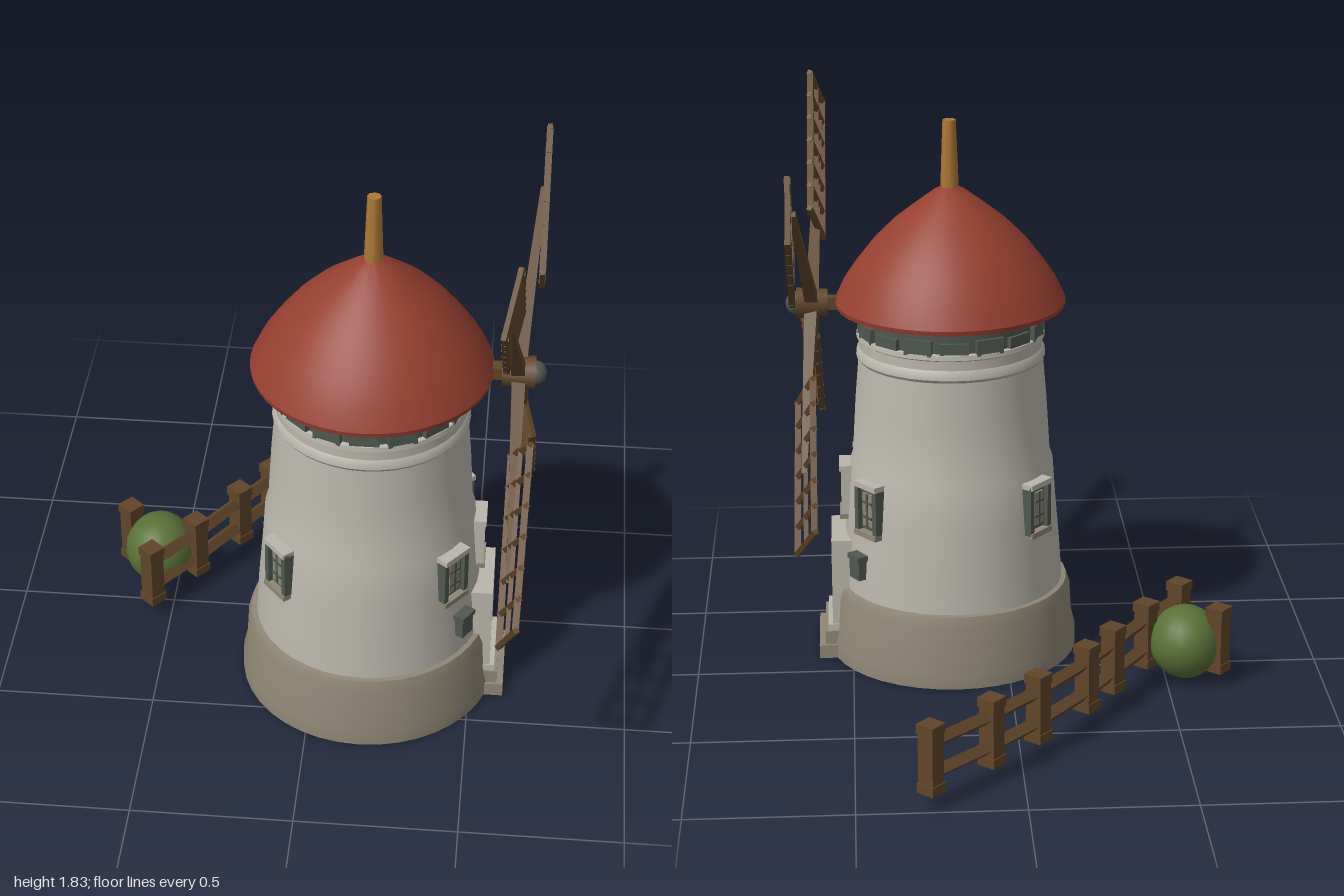
import * as THREE from 'three';
import { toCreasedNormals } from 'three/addons/utils/BufferGeometryUtils.js';

const paint = (name, color) => {
  const m = new THREE.MeshStandardMaterial({ color });
  m.name = name;
  return m;
};
const V = (x, y, z) => new THREE.Vector3(x, y, z);

export function createModel() {
  const root = new THREE.Group();
  root.name = 'windmill';
  const wall = paint('whitewash', 0xbab6ac);
  const stone = paint('stone', 0x8f8675);
  const roofRed = paint('roofRed', 0x963f30);
  const wood = paint('darkWood', 0x614529);
  const gold = paint('paleWood', 0xad7836);
  const leaf = paint('leaf', 0x5a7038);
  const slate = paint('slate', 0x505850);
  const pane = paint('pane', 0x8c8776);

  const add = (parent, name, geo, mat, x = 0, y = 0, z = 0) => {
    const m = new THREE.Mesh(geo, mat);
    m.name = name;
    m.position.set(x, y, z);
    parent.add(m);
    return m;
  };
  const box = (parent, name, mat, w, h, d, x, y, z) =>
    add(parent, name, new THREE.BoxGeometry(w, h, d), mat, x, y, z);
  const lathe = (parent, name, pts, mat) => {
    const g = new THREE.LatheGeometry(pts.map(p => new THREE.Vector2(...p)), 40);
    return add(parent, name, toCreasedNormals(g, 0.6), mat);
  };
  // Square bar between two points, optionally tapered
  const beam = (parent, name, a, b, w, mat, end = w) => {
    const g = new THREE.CylinderGeometry(end * 0.707, w * 0.707, a.distanceTo(b), 4);
    g.rotateY(Math.PI / 4);
    const m = add(parent, name, toCreasedNormals(g, 0.6), mat);
    m.position.copy(a).lerp(b, 0.5);
    m.quaternion.setFromUnitVectors(V(0, 1, 0), b.clone().sub(a).normalize());
    return m;
  };

  // Tower, built around its own axis
  const tower = new THREE.Group();
  tower.name = 'tower';
  tower.position.set(0.17, 0, 0.24);
  root.add(tower);
  lathe(tower, 'stoneBase', [[0, 0], [0.405, 0], [0.405, 0.05], [0.393, 0.1], [0.387, 0.2], [0.375, 0.235], [0.34, 0.24]], stone);
  lathe(tower, 'towerWall', [[0.36, 0.23], [0.352, 0.35], [0.339, 0.5], [0.329, 0.64], [0.319, 0.67],
    [0.308, 0.85], [0.296, 0.99], [0.303, 1.0], [0.301, 1.02], [0.294, 1.03], [0.294, 1.06], [0.302, 1.065],
    [0.3, 1.08], [0.26, 1.085]], wall);
  lathe(tower, 'roofCollar', [[0.285, 1.07], [0.288, 1.12], [0.288, 1.19]], slate);
  lathe(tower, 'roof', [[0, 1.19], [0.28, 1.185], [0.365, 1.165], [0.368, 1.18], [0.34, 1.24], [0.3, 1.3],
    [0.245, 1.37], [0.18, 1.435], [0.11, 1.49], [0.05, 1.535], [0, 1.56]], roofRed);
  add(tower, 'roofPole', new THREE.CylinderGeometry(0.021, 0.03, 0.24, 8), gold, 0, 1.64, 0);

  // Collar blocks under the eaves
  for (let i = 0; i < 16; i++) {
    const a = (i / 16) * Math.PI * 2;
    const b = box(tower, 'collarBlock', slate, 0.02, 0.035 + 0.015 * (i % 2), 0.09, Math.cos(a) * 0.288, 1.1, Math.sin(a) * 0.288);
    b.rotation.y = -a;
  }

  // Groups whose local +x points outward from the tower
  const facing = (name, degrees) => {
    const g = new THREE.Group();
    g.name = name;
    g.rotation.y = -degrees * Math.PI / 180;
    tower.add(g);
    return g;
  };
  for (const deg of [0, 38, -38, 140, -140]) {
    const w = facing('window', deg);
    const r = 0.335, y = 0.545;
    box(w, 'windowRecess', slate, 0.06, 0.14, 0.08, r - 0.02, y, 0);
    box(w, 'windowPane', pane, 0.008, 0.11, 0.046, r + 0.013, y, 0);
    for (const s of [-1, 1]) {
      box(w, 'windowJamb', deg ? slate : wall, 0.05, 0.165, 0.018, r, y, s * 0.045);
      box(w, 'windowLedge', s > 0 ? wall : stone, 0.06, 0.018, 0.108, r, y + s * 0.082, 0);
    }
    box(w, 'windowBar', slate, 0.006, 0.11, 0.008, r + 0.017, y, 0);
    for (const dy of [-0.025, 0.025]) box(w, 'windowBar', slate, 0.006, 0.008, 0.046, r + 0.017, y + dy, 0);
  }

  // Door with frame, crossbar and steps
  const door = facing('door', 0);
  box(door, 'doorPanel', slate, 0.1, 0.27, 0.18, 0.325, 0.245, 0);
  for (const s of [-1, 1]) box(door, 'doorJamb', wall, 0.1, 0.28, 0.028, 0.345, 0.24, s * 0.102);
  box(door, 'doorLintel', wall, 0.1, 0.03, 0.232, 0.345, 0.387, 0);
  box(door, 'doorCrossbar', pane, 0.02, 0.018, 0.176, 0.378, 0.228, 0);
  box(door, 'doorSill', wall, 0.1, 0.025, 0.24, 0.36, 0.1, 0);
  box(door, 'upperStep', stone, 0.1, 0.08, 0.25, 0.37, 0.05, 0);
  box(door, 'lowerStep', stone, 0.1, 0.045, 0.27, 0.39, 0.0225, 0);
  for (const s of [-1, 1]) {
    const lamp = facing('lantern', s * 32);
    box(lamp, 'lanternBody', slate, 0.05, 0.07, 0.055, 0.355, 0.34, 0);
    box(lamp, 'lanternCap', slate, 0.06, 0.016, 0.065, 0.355, 0.378, 0);
  }

  // Sails on an axle facing +x
  const sails = new THREE.Group();
  sails.name = 'sails';
  root.add(sails);
  const hub = V(0.61, 1.172, 0.24);
  beam(sails, 'axle', V(0.4, 1.172, 0.24), V(0.62, 1.172, 0.24), 0.04, wood);
  const hubBody = add(sails, 'hub', new THREE.CylinderGeometry(0.052, 0.045, 0.1, 8), wood, 0.61, 1.172, 0.24);
  hubBody.rotation.z = -Math.PI / 2;
  add(sails, 'hubCap', new THREE.SphereGeometry(0.038, 12, 8), slate, 0.657, 1.172, 0.24);

  // Each blade: two inner corners, two outer corners, arm tip
  const blades = [
    [V(0.61, 1.45, 0.34), V(0.575, 1.33, 0.46), V(0.605, 1.815, 0.69), V(0.57, 1.69, 0.825), V(0.58, 1.65, 0.72)],
    [V(0.665, 1.4, 0.045), V(0.665, 1.27, -0.09), V(0.665, 1.705, -0.3), V(0.665, 1.555, -0.43), V(0.655, 1.57, -0.17)],
    [V(0.655, 1.11, 0.525), V(0.6, 1.0, 0.43), V(0.64, 0.79, 0.985), V(0.595, 0.615, 0.85), V(0.615, 0.78, 0.76)],
    [V(0.61, 0.99, 0.01), V(0.66, 0.87, 0.14), V(0.61, 0.61, -0.33), V(0.665, 0.49, -0.195), V(0.64, 0.72, -0.11)],
  ];
  for (const [a, b, c, d, tip] of blades) {
    const blade = new THREE.Group();
    blade.name = 'blade';
    sails.add(blade);
    beam(blade, 'arm', hub, tip, 0.042, wood, 0.018);
    for (const t of [0, 0.5, 1]) {
      beam(blade, 'bladeRail', a.clone().lerp(b, t), c.clone().lerp(d, t), t === 0.5 ? 0.014 : 0.02, wood);
    }
    for (let i = 0; i <= 6; i++) {
      const p = a.clone().lerp(c, i / 6), q = b.clone().lerp(d, i / 6);
      const over = q.clone().sub(p).setLength(0.012);
      beam(blade, 'bladeRung', p.sub(over), q.add(over), 0.016, wood);
    }
  }

  // Fence: posts joined by two rails, plus a lone post by the bush
  const fence = new THREE.Group();
  fence.name = 'fence';
  root.add(fence);
  const posts = [[0.28, -0.96], [0.095, -0.79], [-0.053, -0.635], [-0.217, -0.43], [-0.31, -0.295], [-0.434, -0.11], [-0.56, 0.055], [-0.66, -0.165]];
  posts.forEach(([x, z], i) => {
    const p = box(fence, 'fencePost', wood, 0.052, 0.2, 0.055, x, 0.155, z);
    p.rotation.y = 0.85;
    const cap = box(fence, 'fencePostCap', wood, 0.06, 0.03, 0.062, x, 0.25, z);
    cap.rotation.y = 0.85;
    const foot = box(fence, 'fencePostFoot', wood, 0.06, 0.03, 0.062, x, 0.062, z);
    foot.rotation.y = 0.85;
    if (i > 5) return;
    const [nx, nz] = posts[i + 1];
    for (const y of [0.105, 0.205]) beam(fence, 'fenceRail', V(x, y, z), V(nx, y, nz), 0.034, wood);
  });

  const bush = add(root, 'bush', new THREE.SphereGeometry(0.118, 20, 14), leaf, -0.56, 0.13, -0.12);
  bush.scale.set(0.97, 1, 1.03);
  return root;
}
